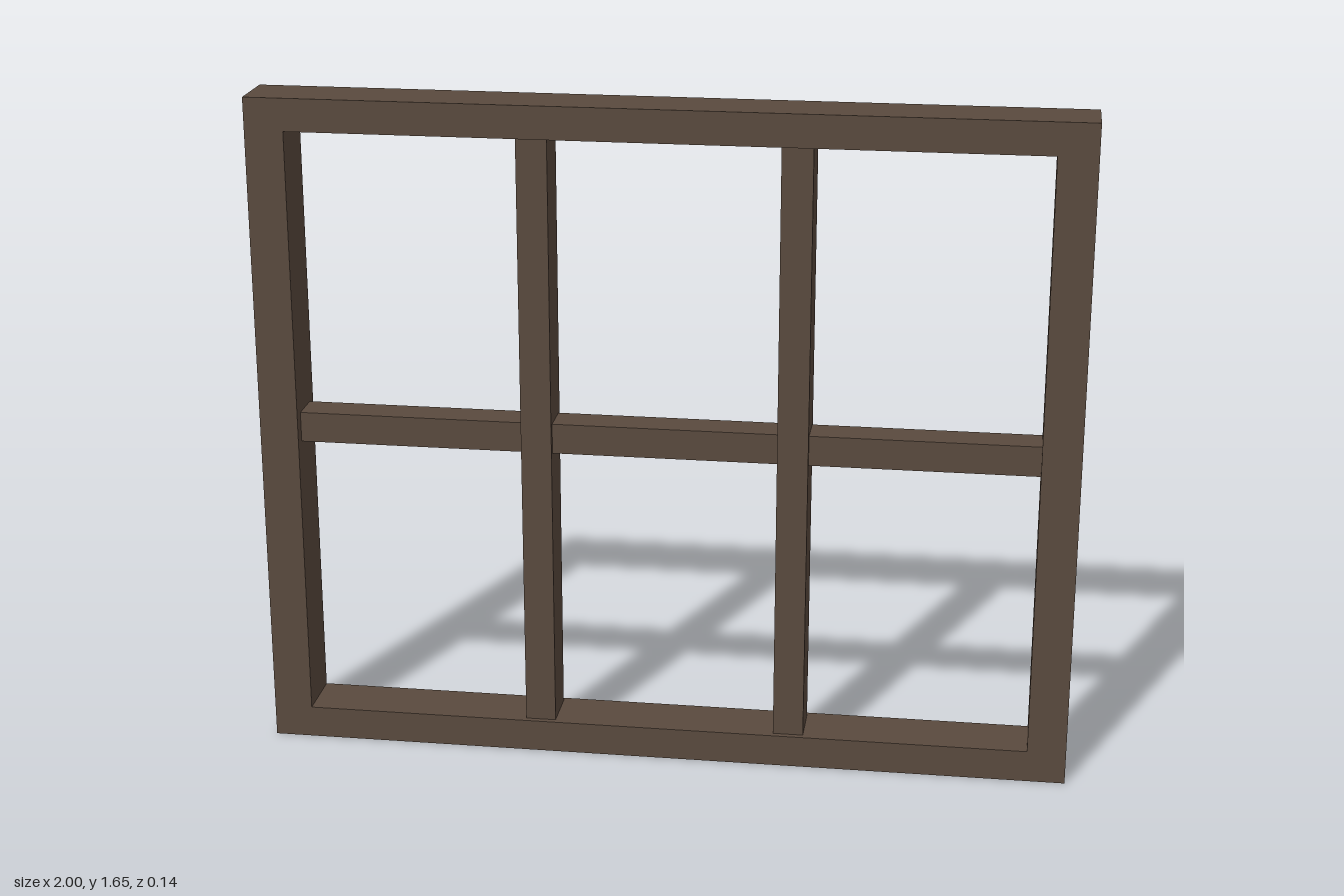
import * as THREE from 'three';

const W = 2, H = 1.655, DEPTH = 0.145; // outer frame
const STILE = 0.095, RAIL = 0.08;      // side and top/bottom widths
const BAR = 0.075;                     // glazing bar width

export function createModel() {
  const group = new THREE.Group();
  group.name = 'windowFrame';
  const wood = new THREE.MeshStandardMaterial({ color: 0x5a4a3e });
  wood.name = 'darkWood';

  const add = (name, geometry, x = 0, y = 0, z = 0) => {
    const mesh = new THREE.Mesh(geometry, wood);
    mesh.name = name;
    mesh.position.set(x, y, z);
    group.add(mesh);
  };

  // Outer frame: rectangle with one rectangular opening
  const rect = (path, x, y0, y1) =>
    path.moveTo(-x, y0).lineTo(x, y0).lineTo(x, y1).lineTo(-x, y1).closePath();
  const outline = rect(new THREE.Shape(), W / 2, 0, H);
  outline.holes.push(rect(new THREE.Path(), W / 2 - STILE, RAIL, H - RAIL));
  add('outerFrame', new THREE.ExtrudeGeometry(outline, { depth: DEPTH, bevelEnabled: false }), 0, 0, -DEPTH / 2);

  // Two upright bars, slightly shallower than the frame
  for (const [name, side] of [['rightUprightBar', -1], ['leftUprightBar', 1]]) {
    add(name, new THREE.BoxGeometry(BAR, H - 2 * RAIL, DEPTH * 0.8), side * 0.313, H / 2);
  }

  // Crossbar, shallower still, so it sits behind the uprights
  add('crossbar', new THREE.BoxGeometry(W - 2 * STILE, BAR, DEPTH * 0.6), 0, H / 2);

  return group;
}
